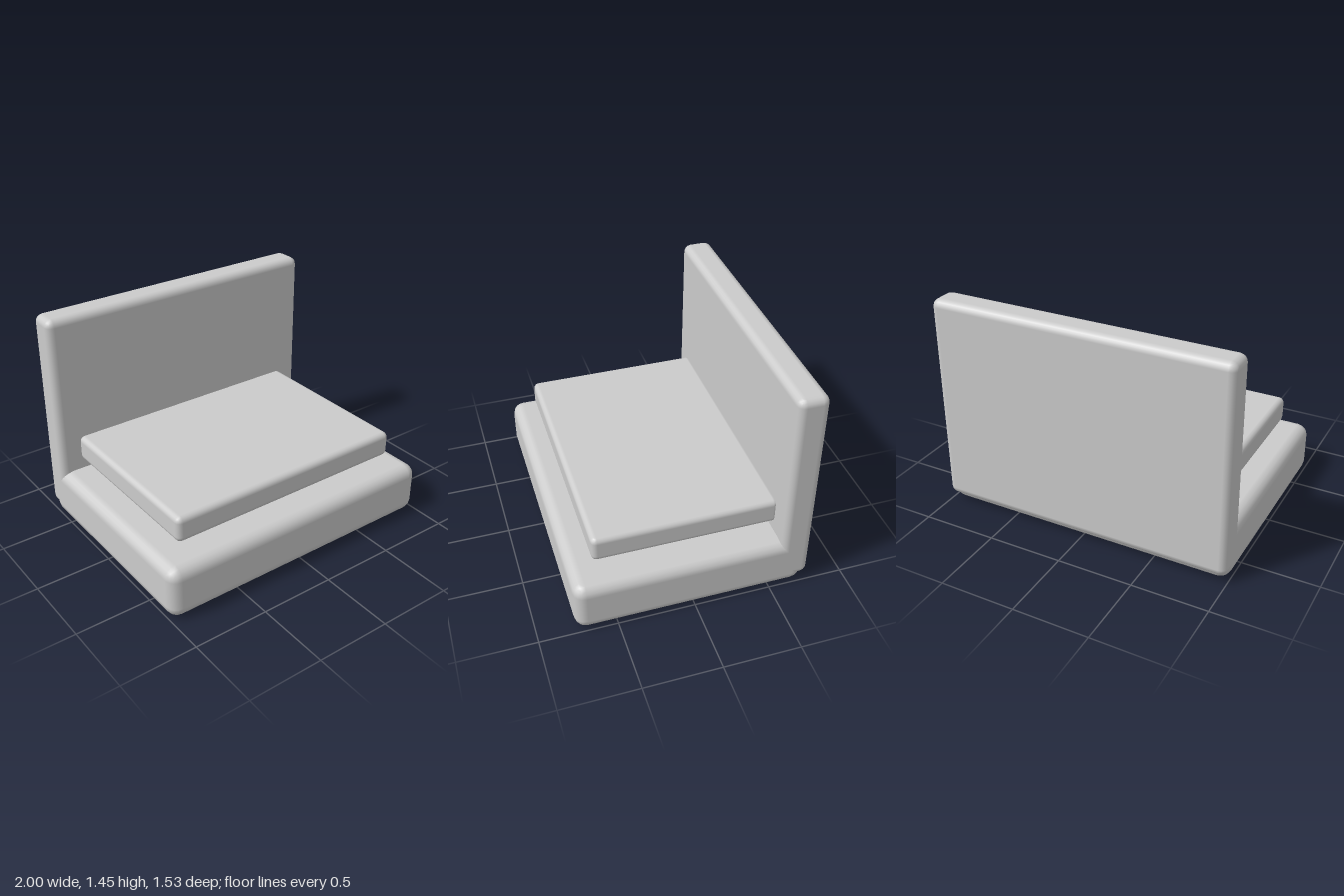
import * as THREE from 'three';
import { RoundedBoxGeometry } from 'three/addons/geometries/RoundedBoxGeometry.js';

const material = new THREE.MeshStandardMaterial({ color: 0xcccccc });

// Soft-edged slab spanning the given ranges, centred on x
function slab(name, halfWidth, [y0, y1], [z0, z1], radius) {
  const geometry = new RoundedBoxGeometry(halfWidth * 2, y1 - y0, z1 - z0, 2, radius);
  const mesh = new THREE.Mesh(geometry, material);
  mesh.name = name;
  mesh.position.set(0, (y0 + y1) / 2, (z0 + z1) / 2);
  return mesh;
}

export function createModel() {
  const group = new THREE.Group();
  group.name = 'seat';
  group.add(
    // Thick base
    slab('base', 1, [0, 0.35], [-0.73, 0.763], 0.077),
    // Upright back, set into the rear of the base
    slab('backrest', 1, [0.055, 1.45], [-0.763, -0.565], 0.05),
    // Raised cushion, its rear edge set into the back
    slab('cushion', 0.85, [0.415, 0.59], [-0.59, 0.613], 0.038)
  );
  return group;
}
